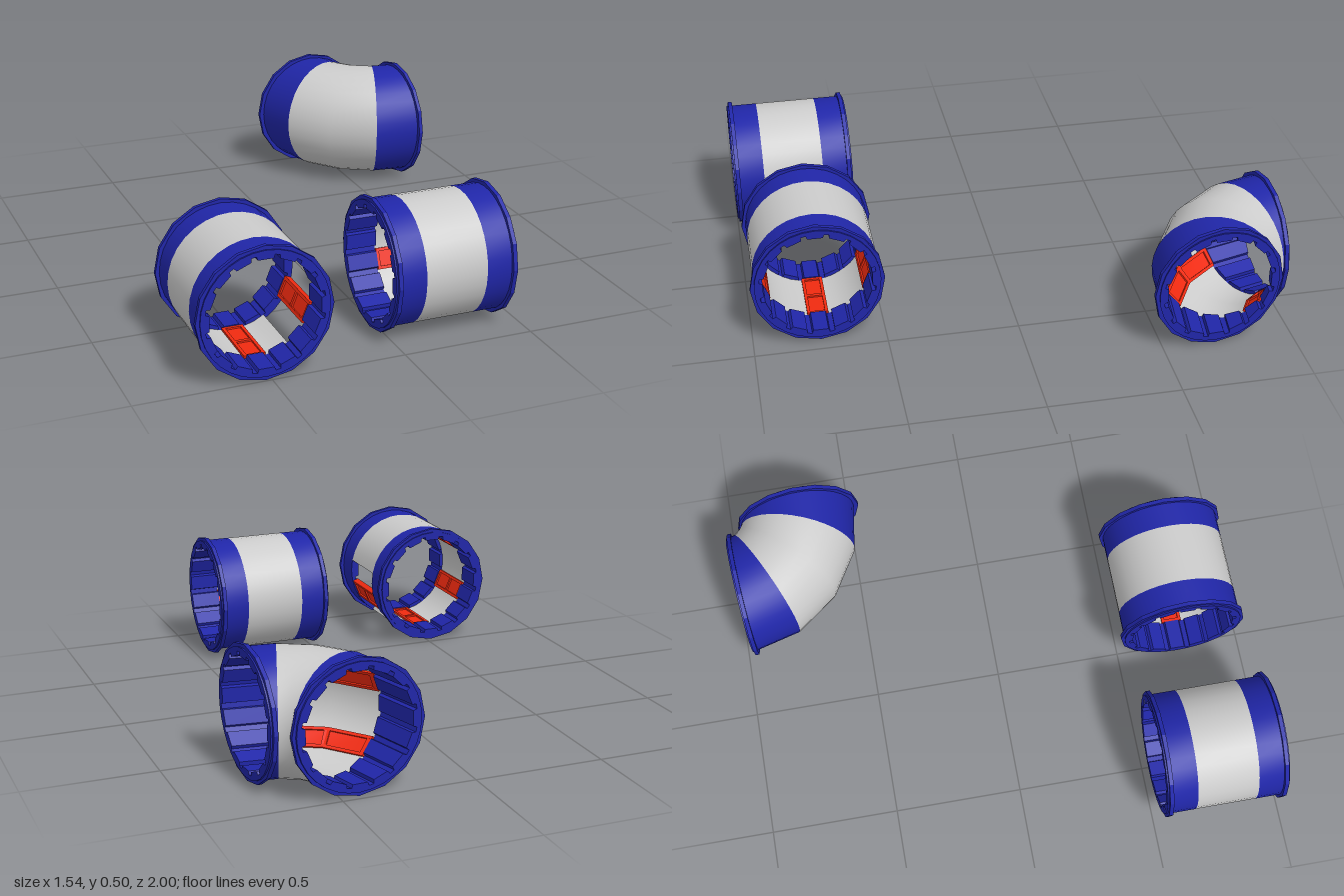
import * as THREE from 'three';
import { toCreasedNormals } from 'three/addons/utils/BufferGeometryUtils.js';

const blue = new THREE.MeshStandardMaterial({ color: 0x2026a8 });
const red = new THREE.MeshStandardMaterial({ color: 0xf02a10 });
const grey = new THREE.MeshStandardMaterial({ color: 0xcccccc });

const RAD = Math.PI / 180;
const LENGTH = 0.475, BEND = 0.30, HEIGHT = 0.25;
const OUTER = 0.235, INNER = 0.218, TOOTH = 0.204, RIM = 0.25;
const BEND_START = 86, BEND_STEP = 22.5;

const polar = (r, deg) => new THREE.Vector2(r * Math.cos(deg * RAD), r * Math.sin(deg * RAD));

function arc(r, from, to, n) {
  return Array.from({ length: n + 1 }, (_, i) => polar(r, from + (to - from) * i / n));
}
const circle = (r, n) => arc(r, 0, 360, n).slice(0, n);

function ringShape(outer, hole) {
  const shape = new THREE.Shape(outer);
  shape.holes.push(new THREE.Path(hole));
  return shape;
}

// Rectangle in the cross-section, turned to the given angle
function blockShape(deg, r0, r1, w0, w1) {
  const corners = [[r0, w0], [r1, w0], [r1, w1], [r0, w1]];
  return new THREE.Shape(corners.map(([r, w]) =>
    new THREE.Vector2(r, w).rotateAround(new THREE.Vector2(), deg * RAD)));
}

// Placement rules: cross-section (x, y) at fraction s along the piece
const straight = (x, y, s) => [x, y, (s - 0.5) * LENGTH];

function bent(x, y, s) {
  const k = Math.min(3, Math.floor(s * 4 + 1e-6)), f = s * 4 - k;
  const a = (BEND_START + k * BEND_STEP) * RAD, b = a + BEND_STEP * RAD;
  const r = BEND + x;
  return [r * (Math.cos(a) * (1 - f) + Math.cos(b) * f), y,
    r * (Math.sin(a) * (1 - f) + Math.sin(b) * f)];
}

function sweep(name, shape, material, place, s0, s1, steps = 1, crease = 0.6) {
  const geo = new THREE.ExtrudeGeometry(shape, { depth: 1, steps, bevelEnabled: false });
  const p = geo.attributes.position;
  for (let i = 0; i < p.count; i++) {
    p.setXYZ(i, ...place(p.getX(i), p.getY(i), s0 + p.getZ(i) * (s1 - s0)));
  }
  const mesh = new THREE.Mesh(toCreasedNormals(geo, crease), material);
  mesh.name = name;
  return mesh;
}

// Hole outline with sixteen inward teeth
function toothedHole() {
  const pts = [];
  for (let i = 0; i < 16; i++) {
    const a = i * 22.5;
    pts.push(polar(INNER, a - 8.8), polar(TOOTH, a - 8), polar(TOOTH, a + 8), polar(INNER, a + 8.8));
  }
  return pts;
}

// Framed bar running along the inside of the middle section
function addBar(group, deg, place) {
  const bar = new THREE.Group();
  bar.name = 'innerBar';
  bar.add(sweep('barPlate', blockShape(deg, 0.212, 0.222, -0.039, 0.039), red, place, 0.25, 0.75, 2));
  for (const side of [-1, 1]) {
    bar.add(sweep('barEdge', blockShape(deg, 0.205, 0.229, side * 0.028, side * 0.04),
      red, place, 0.25, 0.75, 2));
  }
  for (const [a, b] of [[0.25, 0.275], [0.485, 0.5], [0.5, 0.515], [0.725, 0.75]]) {
    bar.add(sweep('barCrosspiece', blockShape(deg, 0.2055, 0.2285, -0.03, 0.03), red, place, a, b));
  }
  group.add(bar);
}

// One pipe piece: two cuffs with rims, a middle shell and five bars
function makePipe(name, place, barStart, windowed) {
  const pipe = new THREE.Group();
  pipe.name = name;

  const cuff = ringShape(circle(OUTER, 32), toothedHole());
  pipe.add(sweep('cuff', cuff, blue, place, 0, 0.25));
  pipe.add(sweep('cuff', cuff, blue, place, 0.75, 1));

  // The windowed shell leaves one panel open around a bar
  const shell = windowed
    ? new THREE.Shape([...arc(OUTER, 11.25, 303.75, 26), ...arc(INNER, 303.75, 11.25, 26)])
    : ringShape(circle(OUTER, 32), circle(INNER, 32));
  pipe.add(sweep('middleShell', shell, grey, place, 0.25, 0.75, 2));

  for (let k = -2; k <= 2; k++) addBar(pipe, barStart + 67.5 * k, place);

  // Sixteen-sided rims, set square to each opening
  const rim = ringShape(circle(RIM, 16), circle(INNER + 0.004, 32));
  for (const end of [0, 1]) {
    const z0 = end ? -0.022 : 0.006;
    const mesh = sweep('rim', rim, blue, (x, y, s) => [x, y, s], z0, z0 + 0.016, 1, 0.3);
    mesh.position.set(...place(0, 0, end));
    if (place === bent) mesh.rotation.y = -(BEND_START + end * 4 * BEND_STEP) * RAD;
    pipe.add(mesh);
  }
  return pipe;
}

export function createModel() {
  const model = new THREE.Group();
  model.name = 'pipePieces';

  const windowPipe = makePipe('windowPipe', straight, 270, true);
  windowPipe.position.set(-0.52, HEIGHT + 0.004, 0.7625);

  const plainPipe = makePipe('straightPipe', straight, 270, false);
  plainPipe.position.set(0.207, HEIGHT + 0.004, 0.745);
  plainPipe.rotation.y = Math.PI / 2;

  const elbow = makePipe('elbowPipe', bent, 90, false);
  elbow.position.set(0.728, HEIGHT + 0.004, -1.003);

  model.add(windowPipe, plainPipe, elbow);
  return model;
}
